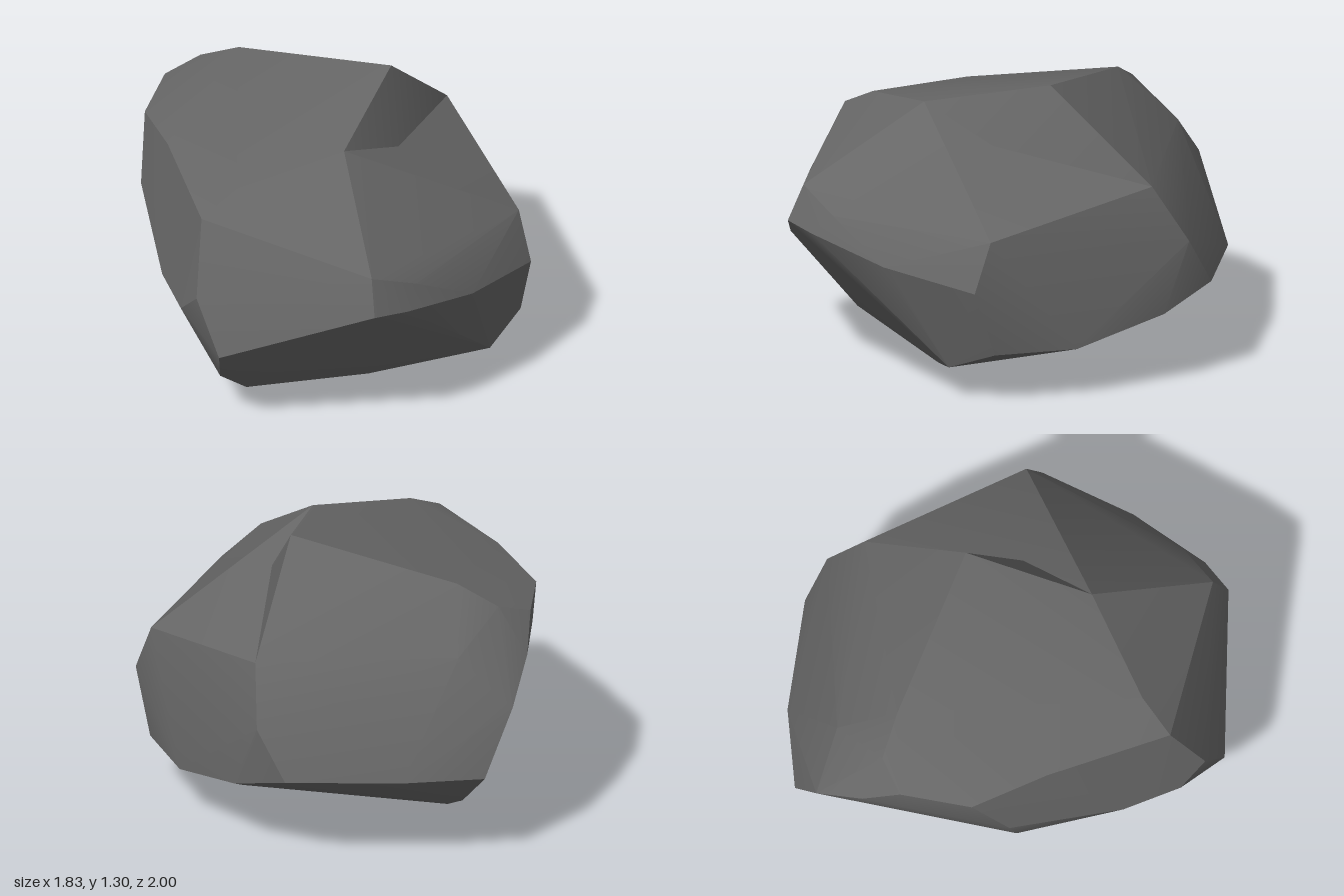
import * as THREE from 'three';
import { ConvexGeometry } from 'three/addons/geometries/ConvexGeometry.js';
import { toCreasedNormals } from 'three/addons/utils/BufferGeometryUtils.js';

const stone = new THREE.MeshStandardMaterial({ color: 0x666666 });
stone.name = 'dark grey stone';

const toPoints = (list) => list.map((p) => new THREE.Vector3(...p));

// A faceted chunk: shallow edges are softened, strong ones stay sharp
function chunk(name, corners) {
  const geometry = toCreasedNormals(new ConvexGeometry(toPoints(corners)), 0.4);
  const mesh = new THREE.Mesh(geometry, stone);
  mesh.name = name;
  return mesh;
}

export function createModel() {
  const group = new THREE.Group();
  group.name = 'rock';

  // Corners where the ridge meets the lower shoulder
  const ridgeFoot = [
    [0.20, 1.18, 0.29], [0.24, 0.89, -0.78], [0.32, 1.02, -0.05],
  ];

  // Upper left corners, shared by both chunks
  const crown = [
    [-0.59, 1.17, -0.37], [-0.78, 1.08, -0.38], [-0.65, 0.93, -0.63],
    [-0.90, 1.02, -0.26], [-0.86, 1.01, 0.06], [-0.63, 1.05, 0.34],
    [-0.17, 1.09, 0.64], [-0.27, 1.00, 0.80],
  ];

  // Left and back sides
  const flank = [
    [-0.92, 0.88, -0.43], [-0.90, 0.72, -0.65], [-0.80, 0.42, -0.78],
    [-0.46, 0.43, -0.92], [0.06, 0.42, -1.00], [0.20, 0.64, -0.94],
    [-0.81, 0.74, 0.22],
  ];

  // Right shoulder
  const shoulder = [
    [0.83, 0.75, -0.21], [0.91, 0.53, -0.16], [0.82, 0.59, 0.29],
    [0.67, 0.76, 0.57], [0.67, 0.67, 0.67], [0.57, 0.69, 0.81],
    [0.53, 0.85, 0.75],
  ];

  // Front nose
  const nose = [
    [-0.10, 0.43, 1.00], [-0.23, 0.68, 0.95], [-0.34, 0.56, 0.87],
    [-0.52, 0.58, 0.66], [-0.18, 0.21, 0.80],
  ];

  // Underside
  const base = [
    [0.28, 0.00, 0.20], [0.78, 0.14, 0.00], [0.83, 0.23, -0.23],
    [0.63, 0.23, -0.55], [0.31, 0.26, -0.72], [0.32, 0.33, -0.86],
    [-0.45, 0.07, -0.24], [-0.57, 0.14, -0.48], [-0.67, 0.24, -0.64],
    [-0.64, 0.21, 0.20], [-0.35, 0.09, 0.45], [-0.15, 0.085, 0.62],
    [-0.10, 0.11, 0.69],
  ];

  group.add(chunk('body', [...ridgeFoot, ...crown, ...flank, ...shoulder, ...nose, ...base]));

  // Raised ridge, its steep right side forming the notch above the shoulder
  group.add(chunk('ridge', [[0.18, 1.30, -0.29], ...ridgeFoot, ...crown, ...flank]));

  return group;
}
